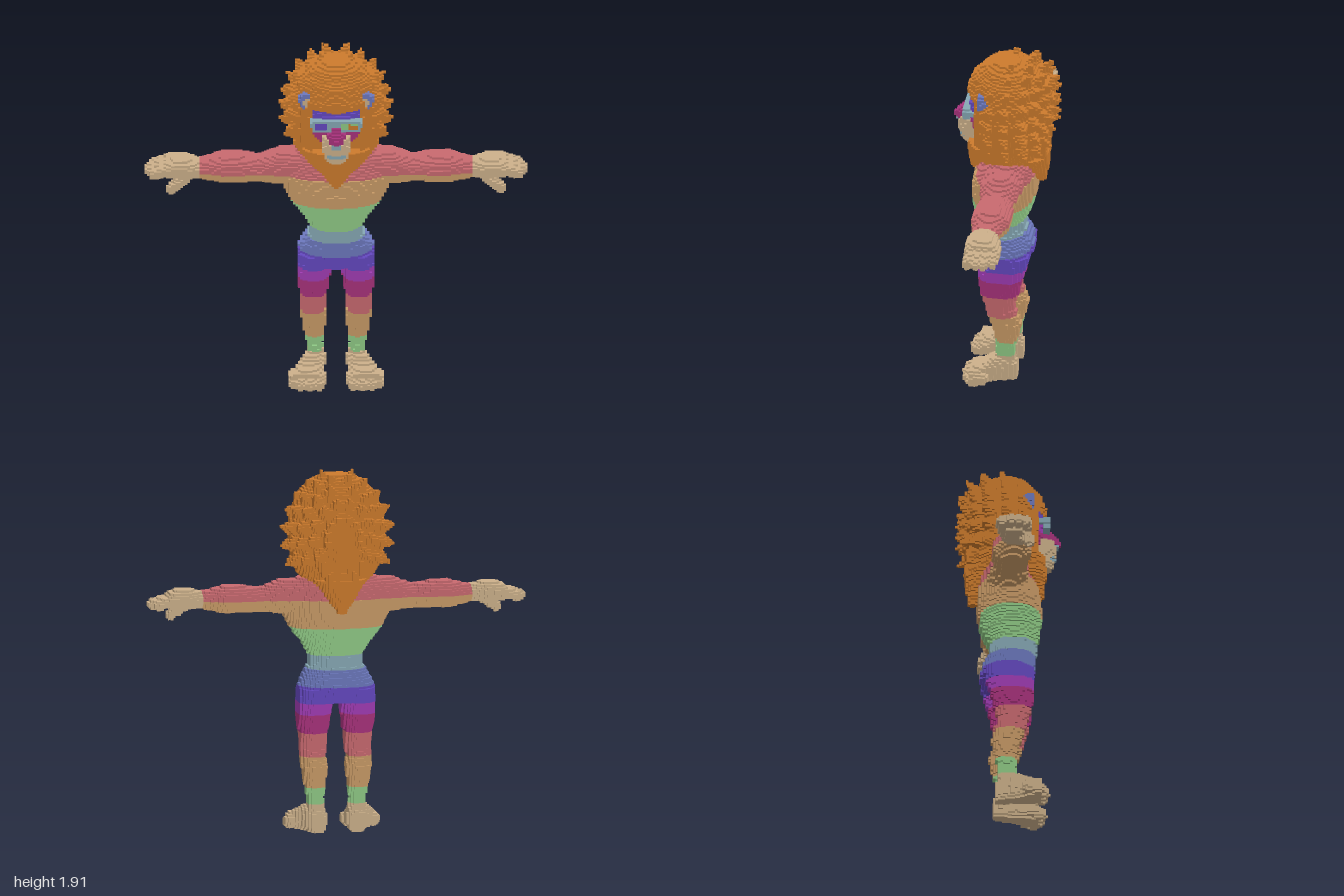
import * as THREE from 'three';

const S = 0.0125, N = [160, 158, 48], MIN = [-1, 0, -0.3];
const COLOURS = {
  pawBeige: 0xccb08a, rose: 0xc8696f, tan: 0xc89a66, green: 0x8fc985, teal: 0x86a8b4,
  blue: 0x6c78bd, indigo: 0x6448c0, purple: 0xa03cb4, magenta: 0xa8327c, maneOrange: 0xcc7a2c,
};
const COLOUR_NAMES = Object.keys(COLOURS);

// Colour bands of the body by height
const BANDS = [[0.15, 'pawBeige'], [0.24, 'green'], [0.4, 'tan'], [0.53, 'rose'], [0.62, 'magenta'], [0.69, 'purple'],
  [0.78, 'indigo'], [0.865, 'blue'], [0.94, 'teal'], [1.085, 'green'], [1.24, 'tan'], [9, 'rose']];
const bands = (x, y) => BANDS.find(b => y < b[0])[1];
const armColour = (x, y) => (Math.abs(x) > 0.71 ? 'pawBeige' : y > 1.24 ? 'rose' : 'tan');

// Solid of superellipse sections along an axis; rows: [position, centreU, halfU, centreV, halfV]
function loft(axis, rows, p = 2.3) {
  const [u, v] = [[1, 2], [0, 2], [0, 1]][axis];
  const lo = [], hi = [];
  lo[axis] = rows[0][0];
  hi[axis] = rows[rows.length - 1][0];
  [[u, 1], [v, 3]].forEach(([a, k]) => {
    lo[a] = Math.min(...rows.map(r => r[k] - r[k + 1]));
    hi[a] = Math.max(...rows.map(r => r[k] + r[k + 1]));
  });
  const inside = q => {
    let i = 1;
    while (i < rows.length - 1 && q[axis] > rows[i][0]) i++;
    const a = rows[i - 1], b = rows[i], t = (q[axis] - a[0]) / (b[0] - a[0]);
    const m = k => a[k] + (b[k] - a[k]) * t;
    return Math.abs((q[u] - m(1)) / m(2)) ** p + Math.abs((q[v] - m(3)) / m(4)) ** p < 1;
  };
  return { lo, hi, inside };
}

// Tapered capsule between two points
function limb(a, b, ra, rb) {
  const d = b.map((n, k) => n - a[k]), len = d.reduce((s, n) => s + n * n, 0);
  return {
    lo: a.map((n, k) => Math.min(n - ra, b[k] - rb)),
    hi: a.map((n, k) => Math.max(n + ra, b[k] + rb)),
    inside: q => {
      const t = Math.min(1, Math.max(0, d.reduce((s, n, k) => s + n * (q[k] - a[k]), 0) / len));
      return Math.hypot(...q.map((n, k) => n - a[k] - d[k] * t)) < ra + (rb - ra) * t;
    },
  };
}

const box = (x0, x1, y0, y1, z0, z1) => ({ lo: [x0, y0, z0], hi: [x1, y1, z1], inside: () => true });

export function createModel() {
  const grid = new Uint16Array(N[0] * N[1] * N[2]);
  const parts = [];
  const at = (i, j, k) => (i < 0 || j < 0 || k < 0 || i >= N[0] || j >= N[1] || k >= N[2] ? 0 : grid[(k * N[1] + j) * N[0] + i]);
  const partId = name => (parts.includes(name) ? parts.indexOf(name) : parts.push(name) - 1);

  // Fill cells of a shape; paint = recolour only, null colour = carve
  function stamp(name, shape, colour, { mirror = false, paint = false } = {}) {
    const ids = mirror ? [partId('left ' + name), partId('right ' + name)] : [partId(name)];
    const from = shape.lo.map((n, a) => Math.max(0, Math.floor((n - MIN[a]) / S)));
    const to = shape.hi.map((n, a) => Math.min(N[a] - 1, Math.ceil((n - MIN[a]) / S)));
    for (let k = from[2]; k <= to[2]; k++) for (let j = from[1]; j <= to[1]; j++) for (let i = from[0]; i <= to[0]; i++) {
      const q = [i, j, k].map((n, a) => MIN[a] + (n + 0.5) * S);
      if (q.some((n, a) => n < shape.lo[a] || n > shape.hi[a]) || !shape.inside(q)) continue;
      const c = typeof colour === 'function' ? colour(...q) : colour;
      ids.forEach((id, side) => {
        const cell = (k * N[1] + j) * N[0] + (side ? N[0] - 1 - i : i);
        if (paint && !grid[cell]) return;
        grid[cell] = c ? id * 16 + COLOUR_NAMES.indexOf(c) + 1 : 0;
      });
    }
  }
  const pair = { mirror: true }, paint = { paint: true };

  // Torso
  stamp('torso', loft(1, [[0.69, 0, 0.19, -0.005, 0.11], [0.75, 0, 0.205, -0.008, 0.14], [0.81, 0, 0.185, 0, 0.142],
    [0.88, 0, 0.143, 0.02, 0.122], [0.94, 0, 0.142, 0.025, 0.125], [1.0, 0, 0.175, 0.015, 0.148], [1.08, 0, 0.24, 0.007, 0.163],
    [1.15, 0, 0.275, 0.003, 0.167], [1.23, 0, 0.29, -0.005, 0.16], [1.3, 0, 0.27, -0.02, 0.13], [1.35, 0, 0.2, -0.025, 0.1]]), bands);

  // Arms
  stamp('arm', loft(0, [[0.2, 1.25, 0.09, -0.02, 0.11], [0.3, 1.25, 0.085, -0.015, 0.1], [0.4, 1.235, 0.06, -0.015, 0.085],
    [0.5, 1.243, 0.066, -0.015, 0.1], [0.59, 1.242, 0.071, -0.015, 0.1], [0.66, 1.24, 0.055, -0.01, 0.075],
    [0.71, 1.24, 0.044, -0.005, 0.065]]), armColour, pair);

  // Hands with fingers and thumb
  stamp('hand', loft(0, [[0.71, 1.24, 0.044, -0.005, 0.065], [0.78, 1.25, 0.05, -0.01, 0.085], [0.84, 1.25, 0.05, -0.015, 0.095],
    [0.89, 1.245, 0.042, -0.02, 0.09]]), 'pawBeige', pair);
  [[-0.083, 0.95], [-0.042, 0.975], [0, 0.975], [0.038, 0.955]].forEach(([z, tip]) =>
    stamp('hand', limb([0.86, 1.25, z], [tip, 1.225, z], 0.03, 0.024), 'pawBeige', pair));
  stamp('hand', limb([0.79, 1.215, 0.045], [0.86, 1.155, 0.065], 0.035, 0.026), 'pawBeige', pair);

  // Legs
  stamp('leg', loft(1, [[0.12, 0.11, 0.042, -0.015, 0.055], [0.19, 0.112, 0.043, -0.015, 0.046], [0.25, 0.114, 0.054, -0.022, 0.055],
    [0.34, 0.116, 0.066, -0.02, 0.078], [0.4, 0.12, 0.063, 0, 0.078], [0.46, 0.118, 0.066, 0.016, 0.076], [0.53, 0.118, 0.074, 0.018, 0.1],
    [0.62, 0.118, 0.088, 0.01, 0.112], [0.69, 0.115, 0.09, 0, 0.125], [0.76, 0.11, 0.09, -0.005, 0.135]]), bands, pair);

  // Feet with toes
  stamp('foot', loft(2, [[-0.075, 0.1, 0.035, 0.05, 0.05], [-0.04, 0.105, 0.052, 0.07, 0.07], [0.04, 0.125, 0.06, 0.072, 0.072],
    [0.1, 0.145, 0.08, 0.052, 0.052], [0.165, 0.16, 0.085, 0.045, 0.045]], 3), 'pawBeige', pair);
  [[0.09, 0.172], [0.137, 0.178], [0.184, 0.17], [0.226, 0.148]].forEach(([x, z]) =>
    stamp('foot', limb([x - 0.01, 0.045, z - 0.05], [x, 0.03, z], 0.035, 0.029), 'pawBeige', pair));

  // Mane: core, beard, nape and forelock
  const hair = 'maneOrange';
  stamp('mane', loft(1, [[1.31, 0, 0.16, -0.01, 0.17], [1.4, 0, 0.222, -0.01, 0.195], [1.5, 0, 0.248, -0.025, 0.21],
    [1.6, 0, 0.255, -0.025, 0.212], [1.7, 0, 0.24, -0.025, 0.21], [1.8, 0, 0.195, -0.02, 0.175], [1.86, 0, 0.13, -0.01, 0.12],
    [1.89, 0, 0.05, 0, 0.05]], 1.9), hair);
  stamp('mane', loft(1, [[1.21, 0, 0.012, 0.16, 0.02], [1.27, 0, 0.055, 0.14, 0.05], [1.34, 0, 0.13, 0.12, 0.075],
    [1.42, 0, 0.18, 0.09, 0.105]]), hair);
  stamp('mane', loft(1, [[1.17, 0, 0.012, -0.195, 0.02], [1.25, 0, 0.07, -0.16, 0.06], [1.35, 0, 0.14, -0.12, 0.11]]), hair);
  stamp('mane', loft(1, [[1.66, 0, 0.03, 0.17, 0.03], [1.72, 0, 0.09, 0.14, 0.06], [1.8, 0, 0.1, 0.09, 0.08], [1.86, 0, 0.05, 0.03, 0.06]]), hair);

  // Mane spikes: fans round the head, smaller towards the back
  [[0.06, 0.9, 0.01], [-0.02, 1, 0.02], [-0.1, 0.96, 0.045], [-0.15, 0.82, 0.07], [-0.18, 0.6, 0.08], [-0.19, 0.32, 0.08]].forEach(([z, s, back], row) => {
    const step = 17 / Math.max(s, 0.55);
    for (let a = 10 + (row % 2) * 6; a < 132; a += step) {
      const dx = Math.sin(a * Math.PI / 180) * s, dy = Math.cos(a * Math.PI / 180) * s;
      stamp('mane', limb([dx * 0.22, 1.58 + dy * 0.25, z], [dx * 0.302, 1.58 + dy * 0.345, z - back], 0.05, 0.005), hair, pair);
    }
  });
  [[1.42, 0.1], [1.36, 0.06], [1.3, 0.02]].forEach(([y, x]) =>
    stamp('mane', limb([x, y + 0.05, -0.17], [x, y - 0.05, -0.225], 0.05, 0.006), hair, pair));

  // Ears
  stamp('ear', loft(2, [[0.06, 0.155, 0.045, 1.705, 0.048], [0.125, 0.152, 0.04, 1.705, 0.045]], 2), 'blue', pair);
  stamp('ear', loft(2, [[0.11, 0.152, 0.02, 1.702, 0.024], [0.126, 0.152, 0.02, 1.702, 0.024]], 2), 'pawBeige', pair);

  // Face: recess, brow, cheeks, muzzle, nose and mouth
  stamp('face', box(-0.125, 0.125, 1.43, 1.675, 0.125, 0.3), null);
  stamp('face', loft(1, [[1.61, 0, 0.125, 0.11, 0.08], [1.65, 0, 0.135, 0.1, 0.085], [1.68, 0, 0.13, 0.1, 0.065]], 3), 'indigo');
  stamp('face', loft(1, [[1.48, 0, 0.09, 0.11, 0.05], [1.52, 0, 0.12, 0.11, 0.065], [1.62, 0, 0.125, 0.11, 0.075]], 3),
    (x, y) => (y > 1.56 ? 'purple' : 'magenta'));
  stamp('muzzle', loft(1, [[1.385, 0, 0.04, 0.18, 0.04], [1.42, 0, 0.062, 0.18, 0.06], [1.48, 0, 0.08, 0.175, 0.078],
    [1.54, 0, 0.07, 0.17, 0.075]]), 'pawBeige');
  stamp('nose', loft(1, [[1.505, 0, 0.02, 0.22, 0.035], [1.53, 0, 0.05, 0.19, 0.085], [1.56, 0, 0.05, 0.18, 0.085],
    [1.61, 0, 0.03, 0.16, 0.05]], 2), 'magenta');
  stamp('mouth', box(-0.045, 0.045, 1.425, 1.445, 0.2, 0.3), 'teal', paint);
  stamp('mouth', box(-0.025, 0.025, 1.49, 1.525, 0.2, 0.26), 'teal', paint);

  // Glasses with two lenses
  stamp('glasses', box(-0.125, 0.125, 1.575, 1.638, 0.17, 0.212), 'teal');
  stamp('glasses', box(0.11, 0.138, 1.6, 1.63, 0.1, 0.212), 'teal', pair);
  stamp('right lens', box(-0.113, -0.05, 1.588, 1.625, 0.2, 0.213), 'indigo', paint);
  stamp('left lens', box(0.025, 0.113, 1.588, 1.625, 0.2, 0.213), x => (x > 0.06 ? 'maneOrange' : 'green'), paint);
  stamp('left lens', box(0.07, 0.113, 1.612, 1.625, 0.2, 0.213), 'green', paint);

  // Exposed cell faces, gathered per part and colour
  const faces = new Map();
  for (let k = 0; k < N[2]; k++) for (let j = 0; j < N[1]; j++) for (let i = 0; i < N[0]; i++) {
    const key = at(i, j, k);
    if (!key) continue;
    for (let d = 0; d < 3; d++) for (const sign of [1, -1]) {
      const next = [i, j, k];
      next[d] += sign;
      if (at(...next)) continue;
      const corners = [[0, 0], [1, 0], [1, 1], [0, 1]].map(([a, b]) => {
        const c = [i, j, k];
        c[d] += sign > 0 ? 1 : 0;
        c[(d + 1) % 3] += a;
        c[(d + 2) % 3] += b;
        return c.map((n, m) => MIN[m] + n * S);
      });
      if (!faces.has(key)) faces.set(key, []);
      const out = faces.get(key);
      (sign > 0 ? [0, 1, 2, 0, 2, 3] : [0, 2, 1, 0, 3, 2]).forEach(n => out.push(...corners[n]));
    }
  }

  const materials = COLOUR_NAMES.map(name => {
    const m = new THREE.MeshStandardMaterial({ color: COLOURS[name] });
    m.name = name;
    return m;
  });
  const model = new THREE.Group();
  model.name = 'maned figure';
  const groups = parts.map(name => {
    const g = new THREE.Group();
    g.name = name;
    return g;
  });
  for (const [key, positions] of faces) {
    const id = (key - 1) >> 4, c = (key - 1) & 15;
    const geometry = new THREE.BufferGeometry();
    geometry.setAttribute('position', new THREE.Float32BufferAttribute(positions, 3));
    geometry.computeVertexNormals();
    const mesh = new THREE.Mesh(geometry, materials[c]);
    mesh.name = `${parts[id]} ${COLOUR_NAMES[c]}`;
    groups[id].add(mesh);
  }
  groups.filter(g => g.children.length).forEach(g => model.add(g));
  return model;
}
